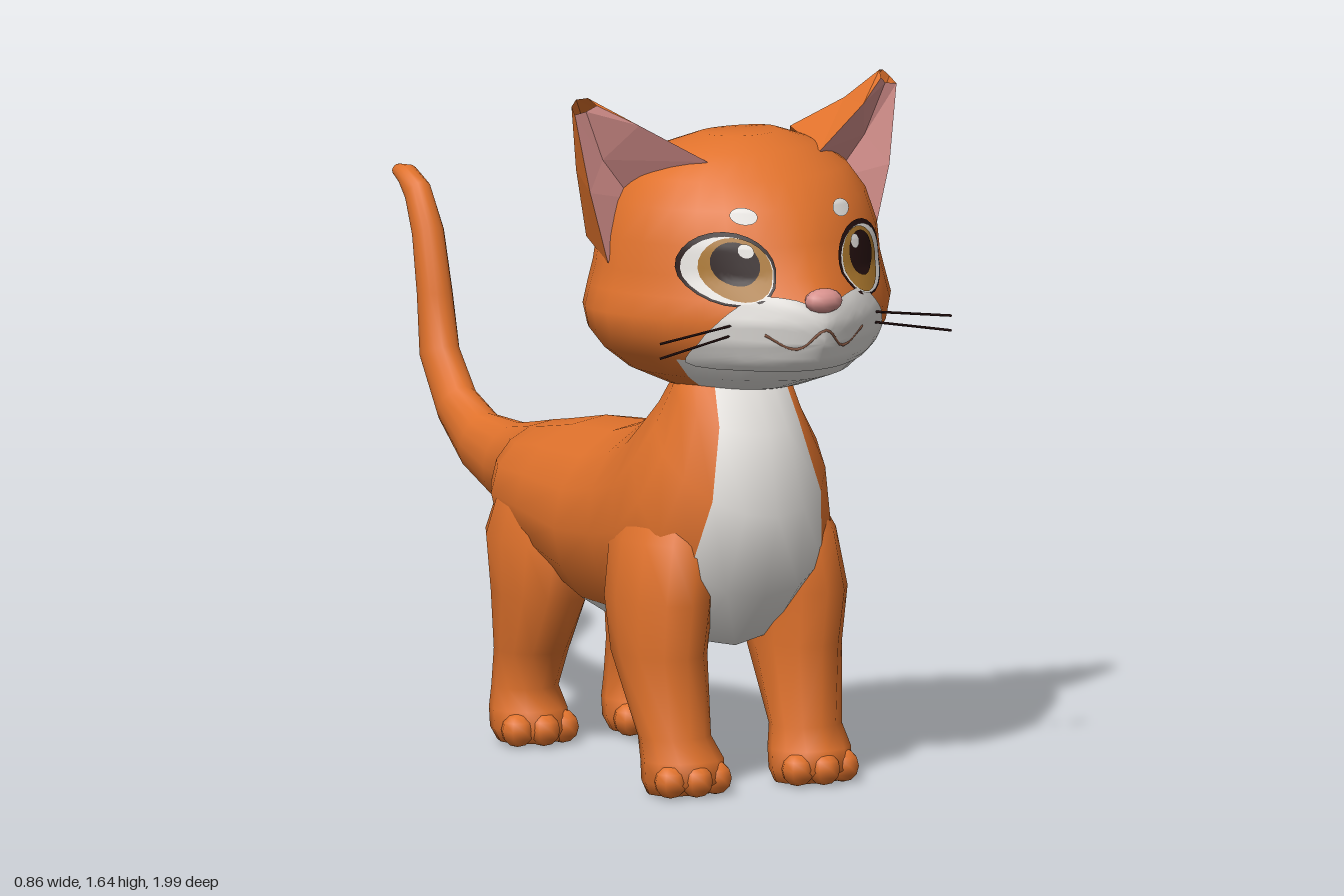
import * as THREE from 'three';

const mat = (name, color, side = THREE.FrontSide) => {
  const m = new THREE.MeshStandardMaterial({ color, side });
  m.name = name;
  return m;
};
const orange = mat('orange fur', 0xe0722c);
const earFur = mat('orange ear fur', 0xe0722c, THREE.DoubleSide);
const white = mat('white fur', 0xe4e1dd);
const pink = mat('pink skin', 0xd6908c, THREE.DoubleSide);
const amber = mat('amber iris', 0xa8752c);
const dark = mat('dark pupil', 0x24100f);
const line = mat('mouth line', 0x8a5a44);

const V = (x, y, z) => new THREE.Vector3(x, y, z);
const mesh = (name, geo, material, parent) => {
  const m = new THREE.Mesh(geo, material);
  m.name = name;
  parent.add(m);
  return m;
};

// Closed skin over equal-sized rings; isWhite(row, column) picks the fur colour
function loft(rings, isWhite = () => false) {
  const n = rings[0].length, pts = rings.flat(), tris = [[], []];
  const add = (k, ...t) => tris[k].push(t);
  for (let i = 0; i < rings.length - 1; i++) {
    for (let j = 0; j < n; j++) {
      const a = i * n + j, b = i * n + (j + 1) % n, k = isWhite(i, j) ? 1 : 0;
      add(k, a, b, b + n);
      add(k, a, b + n, a + n);
    }
  }
  for (const i of [0, rings.length - 1]) {
    const mid = rings[i].reduce((s, p) => s.add(p), V(0, 0, 0)).divideScalar(n);
    const c = pts.push(mid) - 1;
    for (let j = 0; j < n; j++) {
      const a = i * n + j, b = i * n + (j + 1) % n, k = isWhite(i, j) ? 1 : 0;
      i ? add(k, a, b, c) : add(k, b, a, c);
    }
  }
  // Turn the skin outward whichever way the rings run
  let volume = 0;
  for (const [a, b, c] of tris.flat()) volume += pts[a].dot(pts[b].clone().cross(pts[c]));
  const index = tris.map(list => list.flatMap(([a, b, c]) => (volume < 0 ? [a, c, b] : [a, b, c])));
  const geo = new THREE.BufferGeometry().setFromPoints(pts);
  geo.setIndex(index.flat());
  geo.addGroup(0, index[0].length, 0);
  geo.addGroup(index[0].length, index[1].length, 1);
  geo.computeVertexNormals();
  return geo;
}
const fur = [orange, white];

// Torso and tail sections: top z, top y, bottom z, bottom y, half width
const spine = [
  [-0.995, 1.225, -0.995, 1.195, 0.018], [-0.95, 1.23, -0.95, 1.175, 0.028],
  [-0.88, 1.2, -0.925, 1.14, 0.032], [-0.82, 1.1, -0.89, 1.07, 0.038],
  [-0.78, 0.95, -0.865, 0.94, 0.042], [-0.75, 0.83, -0.85, 0.79, 0.046],
  [-0.68, 0.745, -0.75, 0.65, 0.05], [-0.57, 0.7, -0.62, 0.555, 0.06],
  [-0.42, 0.7, -0.44, 0.505, 0.09], [-0.32, 0.72, -0.32, 0.485, 0.115],
  [-0.25, 0.735, -0.26, 0.47, 0.165], [-0.17, 0.75, -0.18, 0.43, 0.21],
  [0, 0.785, 0, 0.39, 0.243], [0.2, 0.805, 0.2, 0.33, 0.252],
  [0.32, 0.84, 0.42, 0.325, 0.255], [0.4, 0.88, 0.62, 0.335, 0.265],
  [0.44, 0.92, 0.765, 0.47, 0.25], [0.46, 0.95, 0.825, 0.67, 0.205],
  [0.47, 0.99, 0.78, 0.86, 0.15], [0.5, 1.05, 0.7, 1.0, 0.125],
];
function spineRing([zt, yt, zb, yb, w]) {
  return Array.from({ length: 16 }, (_, j) => {
    const t = j / 16 * Math.PI * 2, k = (1 - Math.cos(t)) / 2;
    return V(Math.sin(t) * w, yt + (yb - yt) * k, zt + (zb - zt) * k);
  });
}

// Leg sections: y, back z, front z, side offset, half width
const legs = {
  frontLeg: [
    [0.01, 0.6, 0.73, 0.17, 0.085], [0.04, 0.585, 0.765, 0.17, 0.1], [0.09, 0.58, 0.76, 0.17, 0.1],
    [0.14, 0.565, 0.72, 0.175, 0.088], [0.33, 0.44, 0.715, 0.18, 0.105],
    [0.46, 0.41, 0.74, 0.18, 0.115], [0.6, 0.39, 0.73, 0.16, 0.11], [0.76, 0.42, 0.66, 0.1, 0.09]],
  hindLeg: [
    [0.015, -0.165, -0.02, 0.15, 0.08], [0.045, -0.185, -0.005, 0.15, 0.095], [0.09, -0.195, -0.015, 0.15, 0.092],
    [0.14, -0.2, -0.04, 0.15, 0.078], [0.23, -0.185, 0.005, 0.15, 0.085],
    [0.37, -0.205, 0.1, 0.15, 0.1], [0.5, -0.25, 0.14, 0.145, 0.105], [0.66, -0.21, 0.11, 0.11, 0.1]],
};
function legRing([y, zb, zf, x, w]) {
  return Array.from({ length: 12 }, (_, j) => {
    const t = j / 12 * Math.PI * 2;
    return V(x + Math.sin(t) * w, y, (zb + zf) / 2 + Math.cos(t) * (zf - zb) / 2);
  });
}

// Head sections: y, half width, back z, front z, roundness of the face
const MID = 0.55;
const headRows = [
  [0.93, 0.1, 0.46, 0.62, 2], [0.96, 0.18, 0.41, 0.74, 1.9], [1.0, 0.27, 0.35, 0.87, 1.7],
  [1.05, 0.335, 0.32, 0.94, 1.55], [1.1, 0.375, 0.3, 0.965, 1.5], [1.15, 0.385, 0.285, 0.975, 1.5],
  [1.2, 0.37, 0.28, 0.965, 1.5], [1.25, 0.355, 0.283, 0.915, 1.6], [1.32, 0.345, 0.295, 0.885, 1.7],
  [1.4, 0.315, 0.32, 0.84, 1.8], [1.46, 0.27, 0.37, 0.78, 1.9], [1.515, 0.19, 0.42, 0.71, 2],
  [1.545, 0.1, 0.5, 0.64, 2],
];
function headRing([y, w, zb, zf, n]) {
  return Array.from({ length: 32 }, (_, j) => {
    const t = j / 32 * Math.PI * 2, s = Math.sin(t), c = Math.cos(t), p = c > 0 ? 2 / n : 1;
    const depth = c > 0 ? zf - MID : zb - MID;
    return V(Math.sign(s) * w * Math.abs(s) ** p, y, MID + depth * Math.abs(c) ** p);
  });
}
// Point on the face at x, y, raised by lift
function onFace(x, y, lift) {
  const i = Math.max(0, headRows.findIndex(r => r[0] > y) - 1);
  const a = headRows[i], b = headRows[i + 1], k = (y - a[0]) / (b[0] - a[0]);
  const [, w, , zf, n] = a.map((v, q) => v + (b[q] - v) * k);
  const u = Math.min(1, Math.abs(x) / w);
  return V(x, y, MID + (zf - MID) * (1 - u ** n) ** (1 / n) + lift);
}
// Thin plate that follows the face inside a counterclockwise outline
function facePatch(cx, cy, outline, lift) {
  const N = outline.length, R = 6, pts = [onFace(cx, cy, lift)], index = [];
  for (let r = 1; r <= R; r++) {
    for (const p of outline) pts.push(onFace(cx + (p.x - cx) * r / R, cy + (p.y - cy) * r / R, lift));
  }
  for (let j = 0; j < N; j++) {
    const k = (j + 1) % N;
    index.push(0, 1 + j, 1 + k);
    for (let r = 1; r < R; r++) {
      const a = 1 + (r - 1) * N;
      index.push(a + j, a + N + j, a + N + k, a + j, a + N + k, a + k);
    }
  }
  const geo = new THREE.BufferGeometry().setFromPoints(pts);
  geo.setIndex(index);
  geo.computeVertexNormals();
  return geo;
}
function oval(cx, cy, rx, ry, lift) {
  const outline = new THREE.EllipseCurve(cx, cy, rx, ry).getPoints(24).slice(0, 24);
  return facePatch(cx, cy, outline, lift);
}

// Ear: base arc and middle arc from the inner front edge round the back to the outer edge
const earBase = [V(0.15, 1.5, 0.68), V(0.17, 1.53, 0.5), V(0.24, 1.45, 0.38), V(0.33, 1.3, 0.42), V(0.355, 1.26, 0.57)];
const earMid = [V(0.3, 1.59, 0.62), V(0.305, 1.59, 0.52), V(0.34, 1.54, 0.45), V(0.385, 1.47, 0.47), V(0.4, 1.43, 0.565)];
const earTop = [V(0.38, 1.635, 0.56), V(0.39, 1.65, 0.535), V(0.41, 1.645, 0.515), V(0.425, 1.63, 0.52), V(0.43, 1.615, 0.545)];
const earHollow = [V(0.27, 1.4, 0.53), V(0.35, 1.5, 0.535), V(0.4, 1.62, 0.545)];
function strips(rows, side) {
  const pts = [];
  for (let i = 0; i < rows.length - 1; i++) {
    for (let j = 0; j < rows[i].length - 1; j++) {
      const a = rows[i][j], b = rows[i][j + 1], c = rows[i + 1][j + 1], d = rows[i + 1][j];
      pts.push(a, b, c, a, c, d);
    }
  }
  const geo = new THREE.BufferGeometry().setFromPoints(pts.map(p => V(p.x * side, p.y, p.z)));
  geo.computeVertexNormals();
  return geo;
}

export function createModel() {
  const cat = new THREE.Group();
  cat.name = 'cat';
  const body = new THREE.Group(), head = new THREE.Group();
  body.name = 'body';
  head.name = 'head';
  body.position.x = -0.055;
  head.position.x = -0.012;
  cat.add(body, head);

  // Torso and tail with a white strip from under the tail to the throat
  mesh('torsoAndTail', loft(spine.map(spineRing), (i, j) => i >= 9 && j >= 6 && j <= 9), fur, body);

  // Legs and toes
  for (const side of [1, -1]) {
    for (const [name, rows] of Object.entries(legs)) {
      const rings = rows.map(legRing).map(ring => ring.map(p => V(p.x * side, p.y, p.z)));
      mesh(name, loft(rings), fur, body);
      for (const dx of [-0.06, 0, 0.06]) {
        const toe = mesh('toe', new THREE.SphereGeometry(0.04, 8, 6), orange, body);
        toe.position.set(rows[1][3] * side + dx, 0.047, rows[1][2] - 0.025 - Math.abs(dx) * 0.3);
      }
    }
  }

  // Head with a white jaw, and the white muzzle above it
  mesh('skull', loft(headRows.map(headRing), (i, j) => i < 3 && (j < 5 || j > 26)), fur, head);
  const half = [[0.12, 1.03], [0.25, 1.045], [0.245, 1.1], [0.21, 1.16], [0.14, 1.21], [0.06, 1.205]];
  const loop = [[0, 1.03], ...half, [0, 1.18], ...half.slice().reverse().map(([x, y]) => [-x, y])];
  const curve = new THREE.CatmullRomCurve3(loop.map(([x, y]) => V(x, y, 0)), true);
  mesh('muzzle', facePatch(0, 1.1, curve.getPoints(56).slice(0, 56), 0.007), white, head);

  const nose = mesh('nose', new THREE.SphereGeometry(0.045, 10, 8), pink, head);
  nose.scale.set(1.1, 0.65, 0.7);
  nose.position.set(0, 1.203, 0.967);
  const lips = [[-0.13, 1.125], [-0.06, 1.09], [0, 1.135], [0.06, 1.09], [0.13, 1.125]];
  const lipCurve = new THREE.CatmullRomCurve3(lips.map(([x, y]) => onFace(x, y, 0.006)));
  mesh('mouth', new THREE.TubeGeometry(lipCurve, 24, 0.004, 5), line, head);

  for (const side of [1, -1]) {
    // Eyes in thin layers, and the brow spot
    const x = 0.178 * side;
    mesh('eyeRim', oval(x, 1.272, 0.094, 0.084, 0.006), dark, head);
    mesh('eyeWhite', oval(x, 1.27, 0.087, 0.076, 0.009), white, head);
    mesh('iris', oval(x - 0.012 * side, 1.272, 0.071, 0.072, 0.012), amber, head);
    mesh('pupil', oval(x - 0.01 * side, 1.285, 0.048, 0.05, 0.015), dark, head);
    mesh('eyeGlint', oval(x - 0.032 * side, 1.315, 0.016, 0.016, 0.018), white, head);
    mesh('browSpot', oval(0.13 * side, 1.39, 0.029, 0.019, 0.007), white, head);

    // Ears with pink hollows
    mesh('ear', strips([earBase, earMid, earTop], side), earFur, head);
    const inner = [earBase, earMid, earTop].map((row, i) => [row[0], earHollow[i], row[4]]);
    mesh('innerEar', strips(inner, side), pink, head);

    // Whiskers
    for (const dy of [0, 0.025]) {
      const a = onFace(0.19 * side, 1.12 + dy, 0), b = V(0.39 * side, 1.085 + dy * 1.4, 0.88);
      mesh('whisker', new THREE.TubeGeometry(new THREE.LineCurve3(a, b), 1, 0.003, 4), dark, head);
    }
  }
  return cat;
}
